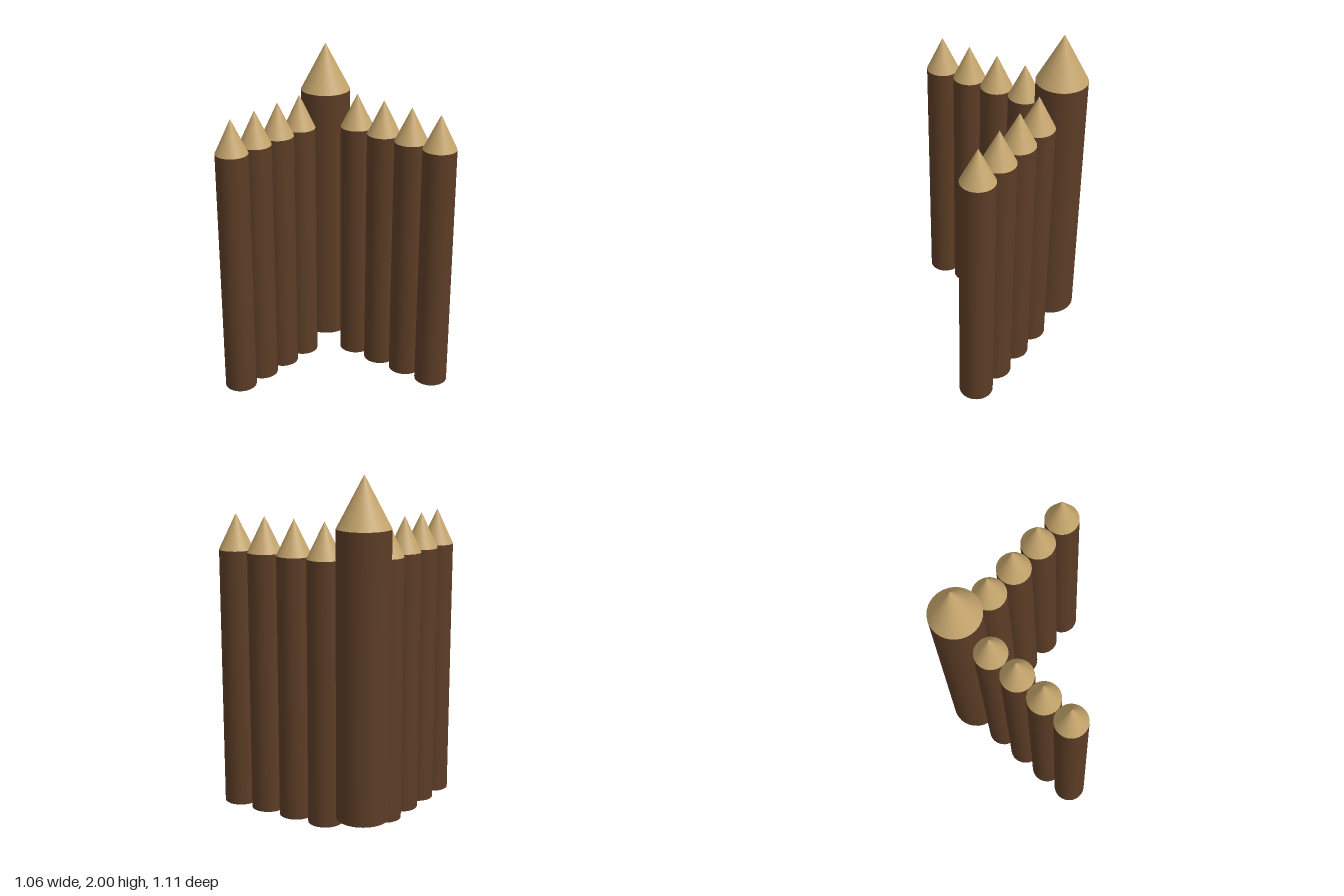
import * as THREE from 'three';

const bark = new THREE.MeshStandardMaterial({ color: 0x5c3d26 });
const cutWood = new THREE.MeshStandardMaterial({ color: 0xc4a46c });

// A round log with a sharpened tip
function makeStake(name, x, z, radius, bottom, shoulder, tip) {
  const stake = new THREE.Group();
  stake.name = name;
  stake.position.set(x, 0, z);

  const log = new THREE.Mesh(
    new THREE.CylinderGeometry(radius, radius, shoulder - bottom, 32), bark);
  log.name = 'log';
  log.position.y = (bottom + shoulder) / 2;

  const point = new THREE.Mesh(
    new THREE.ConeGeometry(radius, tip - shoulder, 32, 1, true), cutWood);
  point.name = 'sharpenedTip';
  point.position.y = (shoulder + tip) / 2;

  stake.add(log, point);
  return stake;
}

export function createModel() {
  const model = new THREE.Group();
  model.name = 'palisadeCorner';
  const cornerX = 0.38, cornerZ = -0.405;

  // Thick corner post, raised slightly off the ground
  model.add(makeStake('cornerPost', cornerX, cornerZ, 0.15, 0.083, 1.715, 2));

  // Two rows of thinner stakes meeting at the corner
  for (let i = 0; i < 4; i++) {
    model.add(makeStake('backRowStake', -0.437 + i * 0.192, cornerZ, 0.096, 0, 1.53, 1.735));
    model.add(makeStake('sideRowStake', cornerX, -0.154 + i * 0.203, 0.1, 0, 1.53, 1.735));
  }
  return model;
}
